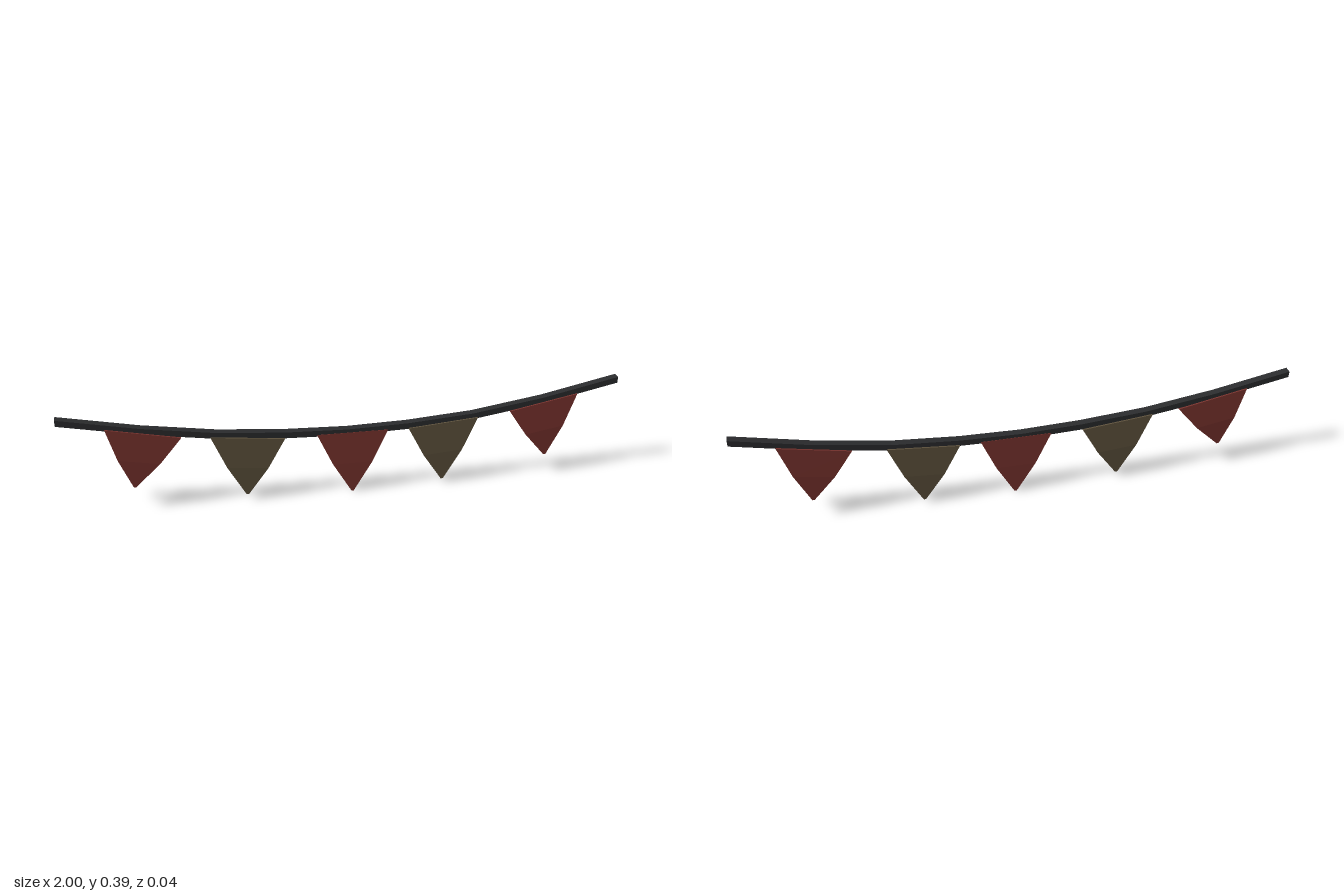
import * as THREE from 'three';

// Skin four-cornered rings with flat quads and close both ends.
// Each ring runs counter-clockwise when the path comes towards the viewer.
function loft(rings) {
  const pos = [];
  const quad = (a, b, c, d) => pos.push(...a, ...b, ...c, ...a, ...c, ...d);
  for (let k = 0; k < rings.length - 1; k++) {
    const p = rings[k], q = rings[k + 1];
    for (let i = 0; i < 4; i++) {
      const j = (i + 1) % 4;
      quad(p[i], p[j], q[j], q[i]);
    }
  }
  const first = rings[0], last = rings[rings.length - 1];
  quad(first[3], first[2], first[1], first[0]);
  quad(last[0], last[1], last[2], last[3]);
  const geo = new THREE.BufferGeometry();
  geo.setAttribute('position', new THREE.Float32BufferAttribute(pos, 3));
  geo.computeVertexNormals();
  return geo;
}

// Tapered pennant: top corners, a slightly bulging middle and a blunt tip
function pennant([lx, ly], [rx, ry], [tx, ty], t) {
  const ring = (ax, ay, bx, by, h) => [[ax, ay, -h], [bx, by, -h], [bx, by, h], [ax, ay, h]];
  const bulge = 0.008;
  return loft([
    ring(lx, ly, rx, ry, t),
    ring((lx + tx) / 2 - bulge, (ly + ty) / 2 - 0.003, (rx + tx) / 2 + bulge, (ry + ty) / 2 - 0.003, t * 0.86),
    ring(tx - 0.004, ty, tx + 0.004, ty, 0.006),
  ]);
}

export function createModel() {
  const group = new THREE.Group();
  const ropeMat = new THREE.MeshStandardMaterial({ color: 0x2b2c2e });
  const red = new THREE.MeshStandardMaterial({ color: 0x78322d });
  const olive = new THREE.MeshStandardMaterial({ color: 0x5d513c });
  ropeMat.name = 'charcoal';
  red.name = 'dull red';
  olive.name = 'olive brown';

  // Sagging rope
  const path = [[-1, 0.374], [-0.72, 0.317], [-0.46, 0.277], [-0.22, 0.257], [0, 0.249],
    [0.22, 0.254], [0.46, 0.272], [0.72, 0.313], [1, 0.374]];
  const rope = new THREE.Mesh(loft(path.map(([x, y]) => [
    [x, y + 0.012, 0.014], [x, y - 0.012, 0.012], [x, y - 0.012, -0.012], [x, y + 0.012, -0.014],
  ])), ropeMat);
  rope.name = 'rope';
  group.add(rope);

  // Flags: left corner, right corner, tip, half thickness, colour
  const flags = [
    [[-0.84, 0.336], [-0.585, 0.283], [-0.76, 0.095], 0.018, red],
    [[-0.485, 0.274], [-0.225, 0.246], [-0.365, 0.025], 0.018, olive],
    [[-0.11, 0.248], [0.147, 0.247], [0.02, 0.0], 0.014, red],
    [[0.222, 0.246], [0.478, 0.268], [0.357, 0.018], 0.018, olive],
    [[0.597, 0.282], [0.848, 0.332], [0.75, 0.083], 0.018, red],
  ];
  flags.forEach(([l, r, tip, t, mat], i) => {
    const flag = new THREE.Mesh(pennant(l, r, tip, t), mat);
    flag.name = `flag${i + 1}`;
    group.add(flag);
  });
  return group;
}
